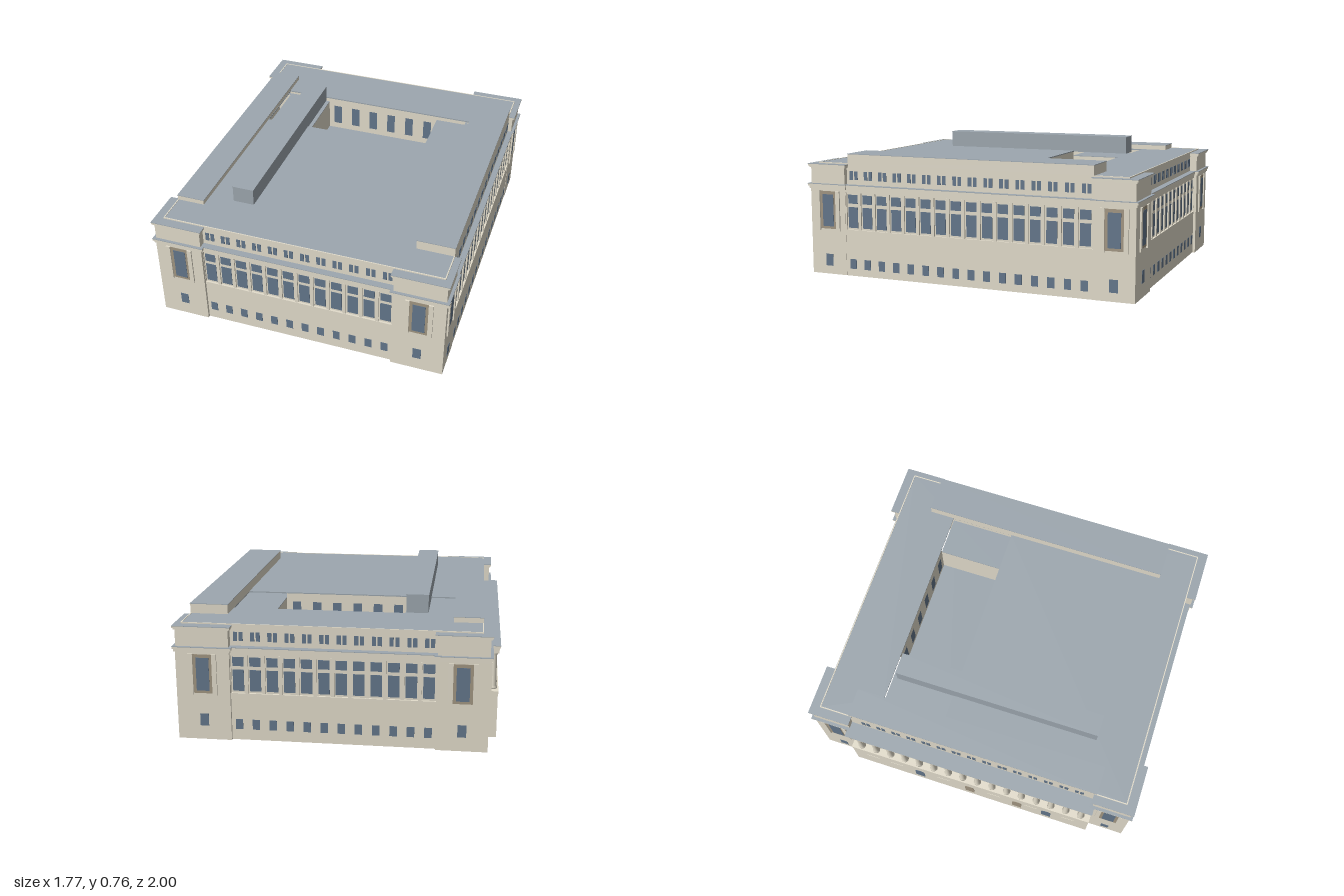
import * as THREE from 'three';

const mat = (name, color, side = THREE.FrontSide) => {
  const m = new THREE.MeshStandardMaterial({ color, side });
  m.name = name;
  return m;
};

export function createModel() {
  const stone = mat('stone', 0xe3ddcc, THREE.DoubleSide);
  const roofGrey = mat('roofGrey', 0x9da7af, THREE.DoubleSide);
  const glass = mat('glass', 0x64778c);
  const brown = mat('brown', 0xa39783);
  const model = new THREE.Group();
  model.name = 'building';

  const add = (parent, name, geo, m) => {
    const mesh = new THREE.Mesh(geo, m);
    mesh.name = name;
    parent.add(mesh);
    return mesh;
  };
  // Box given by its limits on each axis
  const box = (parent, name, m, x0, x1, y0, y1, z0, z1) => {
    const b = add(parent, name, new THREE.BoxGeometry(x1 - x0, y1 - y0, z1 - z0), m);
    b.position.set((x0 + x1) / 2, (y0 + y1) / 2, (z0 + z1) / 2);
    return b;
  };
  // Leaves a box open at the bottom
  const openBottom = mesh => {
    const g = mesh.geometry;
    g.setIndex(Array.from(g.index.array).filter((_, i) => i < 18 || i >= 24));
    g.clearGroups();
  };
  // Thin plate on a local wall plane z
  const plate = (parent, name, m, x, w, y0, y1, z = 0, t = 0.002) =>
    box(parent, name, m, x - w / 2, x + w / 2, y0, y1, z - 0.004, z + t);
  // Group whose local +z is the outward direction of a wall
  const face = (name, x, z, angle) => {
    const g = new THREE.Group();
    g.name = name;
    g.position.set(x, 0, z);
    g.rotation.y = angle;
    model.add(g);
    return g;
  };
  const PITCH = 0.0945;
  const bays = (n, fn) => {
    for (let i = 0; i < n; i++) fn((i - (n - 1) / 2) * PITCH);
  };

  const atticWindows = (g, n, z) => bays(n, x => {
    for (const s of [-1, 1]) plate(g, 'atticWindow', glass, x + s * 0.0155, 0.022, 0.562, 0.613, z);
  });

  // Long wall between two pavilions
  const longWall = (name, x, z, angle, length, n, inset, top, basementY) => {
    const g = face(name, x, z, angle);
    const h = length / 2;
    box(g, 'lowerWall', stone, -h, h, 0, 0.27, -0.012, 0.004);
    box(g, 'upperWall', stone, -h, h, 0.27, 0.5, -0.02, -0.006);
    box(g, 'sill', stone, -h, h, 0.262, 0.272, -0.01, 0.006);
    box(g, 'frieze', stone, -h, h, 0.49, 0.51, -0.03, 0.002);
    box(g, 'cornice', stone, -h, h, 0.508, 0.52, -0.04, 0.006);
    box(g, 'corniceTop', stone, -h, h, 0.52, 0.532, -inset - 0.03, 0.012);
    box(g, 'corniceRoof', roofGrey, -h, h, 0.532, 0.535, -inset - 0.03, 0.013);
    box(g, 'attic', stone, -h, h, 0.534, top, -inset - 0.02, -inset);
    bays(n, u => {
      plate(g, 'basementWindow', glass, u, 0.041, basementY, basementY + 0.058, 0.004);
      plate(g, 'tallWindow', glass, u, 0.062, 0.283, 0.405, -0.006);
      plate(g, 'transomWindow', glass, u, 0.062, 0.425, 0.477, -0.006);
    });
    bays(n + 1, u => box(g, 'pilaster', stone, u - 0.009, u + 0.009, 0.27, 0.49, -0.01, 0.003));
    atticWindows(g, n, -inset);
  };
  longWall('frontWall', 0.01, 0.966, 0, 1.14, 12, 0.026, 0.655, 0.062);
  longWall('backWall', 0.01, -0.966, Math.PI, 1.14, 12, 0.026, 0.655, 0.062);
  longWall('rightWall', 0.866, 0, Math.PI / 2, 1.51, 16, 0.02, 0.655, 0.042);

  // Corner pavilions
  const pavilionFace = (x, z, angle, lowY) => {
    const g = face('pavilionFace', x, z, angle);
    plate(g, 'lowWindow', glass, 0, 0.048, lowY, lowY + 0.07);
    plate(g, 'windowFrame', brown, 0, 0.108, 0.27, 0.492, 0, 0.002);
    plate(g, 'tallWindow', glass, 0, 0.072, 0.285, 0.473, 0, 0.004);
    for (const s of [-1, 1]) {
      box(g, 'pilaster', stone, s * 0.066 - 0.013, s * 0.066 + 0.013, 0.26, 0.495, -0.002, 0.009);
    }
  };
  for (const sx of [-1, 1]) for (const sz of [-1, 1]) {
    const out = sx > 0 ? 0.872 : -0.832;
    const inn = sx > 0 ? 0.572 : -0.55;
    const layer = (name, m, y0, y1, d) => {
      const xs = [out + sx * d, inn - sx * d].sort((a, b) => a - b);
      const zs = [sz * (0.986 + d), sz * (0.755 - d)].sort((a, b) => a - b);
      return box(model, name, m, xs[0], xs[1], y0, y1, zs[0], zs[1]);
    };
    openBottom(layer('pavilionBody', stone, 0, 0.51, 0));
    layer('pavilionCornice', stone, 0.506, 0.52, 0.007);
    layer('pavilionCorniceTop', stone, 0.52, 0.532, 0.013);
    layer('pavilionCorniceRoof', roofGrey, 0.532, 0.535, 0.014);
    layer('pavilionAttic', stone, 0.535, 0.632, -0.003);
    layer('pavilionRim', stone, 0.63, 0.638, 0.005);
    layer('pavilionRimTop', stone, 0.638, 0.648, 0.01);
    layer('pavilionRoof', roofGrey, 0.648, 0.651, 0.011);
    pavilionFace((out + inn) / 2, sz * 0.986, sz > 0 ? 0 : Math.PI, 0.08);
    pavilionFace(out, sz * 0.87, sx * Math.PI / 2, 0.049);
  }

  // Colonnade on the left-hand wall (local +z points to -x)
  const col = face('colonnade', -0.88, 0, -Math.PI / 2);
  openBottom(box(col, 'podium', stone, -0.766, 0.766, 0, 0.265, -0.09, 0));
  box(col, 'podiumCap', stone, -0.768, 0.768, 0.258, 0.272, -0.09, 0.003);
  box(col, 'recessedWall', stone, -0.76, 0.76, 0.265, 0.5, -0.1, -0.075);
  box(col, 'entablature', stone, -0.766, 0.766, 0.49, 0.52, -0.1, 0);
  box(col, 'corniceTop', stone, -0.77, 0.77, 0.52, 0.532, -0.11, 0.006);
  box(col, 'corniceRoof', roofGrey, -0.77, 0.77, 0.532, 0.535, -0.11, 0.007);
  box(col, 'attic', stone, -0.755, 0.755, 0.534, 0.655, -0.12, -0.09);
  atticWindows(col, 15, -0.09);
  bays(15, u => plate(col, 'colonnadeWindow', glass, u, 0.05, 0.285, 0.465, -0.075));
  const columnGeo = new THREE.LatheGeometry([
    [0, 0], [0.023, 0], [0.023, 0.012], [0.018, 0.02], [0.0155, 0.19], [0.022, 0.207], [0.022, 0.222], [0, 0.222],
  ].map(p => new THREE.Vector2(...p)), 12);
  bays(16, u => add(col, 'column', columnGeo, stone).position.set(u, 0.27, -0.027));
  // Arched openings and string course blocks on the podium
  const arch = new THREE.Shape();
  arch.moveTo(-0.03, 0);
  arch.lineTo(0.03, 0);
  arch.lineTo(0.03, 0.09);
  arch.absarc(0, 0.09, 0.03, 0, Math.PI, false);
  const archGeo = new THREE.ExtrudeGeometry(arch, { depth: 0.002, bevelEnabled: false, curveSegments: 8 });
  [[-0.33, glass], [0, brown], [0.31, brown], [0.5, glass]].forEach(([u, m]) =>
    add(col, 'archedOpening', archGeo, m).position.set(u, 0.06, 0));
  for (const u of [-0.64, -0.48, -0.17, 0.16, 0.4, 0.64]) plate(col, 'stringCourse', stone, u, 0.08, 0.165, 0.169);

  // Main roof with the courtyard opening
  const rect = (C, x0, x1, z0, z1) => new C([[x0, z0], [x1, z0], [x1, z1], [x0, z1]].map(p => new THREE.Vector2(p[0], -p[1])));
  const slab = (name, m, outer, inner, y, depth) => {
    const shape = rect(THREE.Shape, ...outer);
    shape.holes.push(rect(THREE.Path, ...inner));
    const s = add(model, name, new THREE.ExtrudeGeometry(shape, { depth, bevelEnabled: false }), m);
    s.rotation.x = -Math.PI / 2;
    s.position.y = y;
  };
  slab('mainRoof', roofGrey, [-0.788, 0.844, -0.94, 0.94], [-0.625, 0.632, -0.6, -0.215], 0.649, 0.007);
  slab('roofCoping', stone, [-0.79, 0.846, -0.942, 0.942], [-0.784, 0.84, -0.936, 0.936], 0.648, 0.01);
  const ceiling = add(model, 'ceiling', new THREE.PlaneGeometry(1.6, 1.14), roofGrey);
  ceiling.rotation.x = Math.PI / 2;
  ceiling.position.set(0.03, 0.48, 0.36);

  // Raised roof blocks
  const raised = (name, wall, x0, x1, y, z0, z1) => {
    box(model, name, wall, x0, x1, 0.65, y - 0.003, z0, z1);
    box(model, name + 'Top', roofGrey, x0 - 0.002, x1 + 0.002, y - 0.003, y, z0 - 0.002, z1 + 0.002);
  };
  raised('rightRoofBlock', stone, 0.632, 0.846, 0.713, -0.748, 0.748);
  raised('leftRoofBlock', stone, -0.79, -0.627, 0.687, -0.758, 0.758);
  raised('roofMonitor', roofGrey, -0.48, -0.355, 0.757, -0.568, 0.668);

  // Courtyard: walls facing inward, floor and two lower end blocks
  const courtWall = (name, x, z, angle, length, y0, y1, n, wy0, wy1) => {
    const g = face(name, x, z, angle);
    add(g, 'wall', new THREE.PlaneGeometry(length, y1 - y0), stone).position.y = (y0 + y1) / 2;
    for (let i = 0; i < n; i++) {
      const w = add(g, 'courtWindow', new THREE.PlaneGeometry(0.052, wy1 - wy0), glass);
      w.position.set((i - (n - 1) / 2) * length / n, (wy0 + wy1) / 2, 0.003);
    }
  };
  courtWall('courtBackWall', 0.0275, -0.6, 0, 0.745, 0.43, 0.65, 6, 0.47, 0.6);
  courtWall('courtFrontWall', 0.0275, -0.215, Math.PI, 0.745, 0.43, 0.65, 6, 0.47, 0.6);
  courtWall('lowerCourtWall', -0.1125, -0.215, Math.PI, 1.025, 0.04, 0.43, 8, 0.1, 0.3);
  courtWall('lowerEndWall', -0.625, -0.4075, Math.PI / 2, 0.385, 0.04, 0.43, 0, 0, 0);
  const floor = add(model, 'courtFloor', new THREE.PlaneGeometry(1.257, 0.385), roofGrey);
  floor.rotation.x = -Math.PI / 2;
  floor.position.set(0.0035, 0.43, -0.4075);
  for (const [x0, x1] of [[-0.625, -0.345], [0.4, 0.632]]) {
    box(model, 'endBlock', stone, x0, x1, 0.432, 0.622, -0.6, -0.215);
    box(model, 'endBlockRoof', roofGrey, x0, x1, 0.622, 0.626, -0.6, -0.215);
  }
  return model;
}
